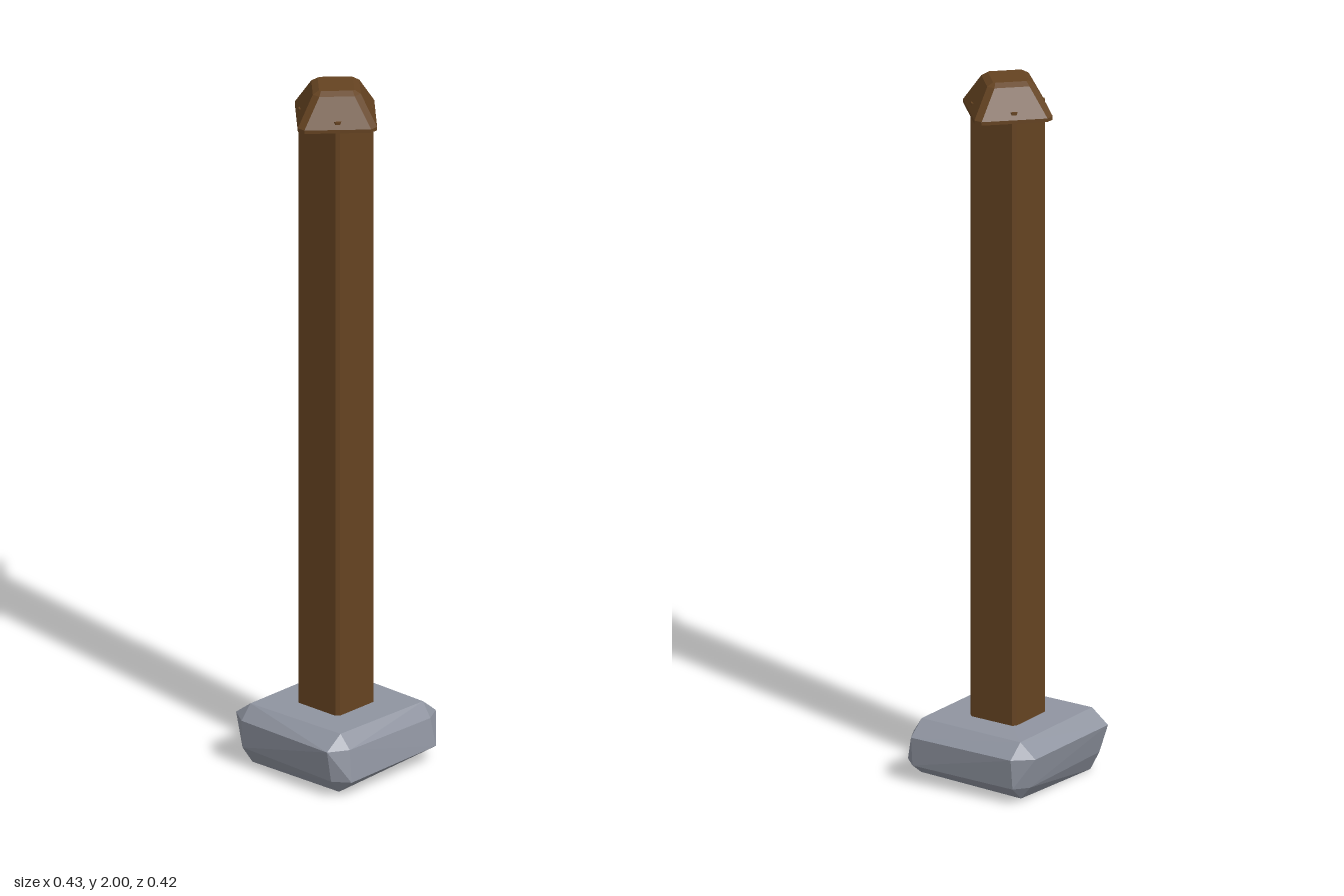
import * as THREE from 'three';
import { ConvexGeometry } from 'three/addons/geometries/ConvexGeometry.js';

const wood = new THREE.MeshStandardMaterial({ color: 0x654321, flatShading: true });
const stone = new THREE.MeshStandardMaterial({ color: 0x8f94a0, flatShading: true });

// Square column with cut corners, lofted through rings of [y, half width, corner cut]
function loftSquare(rings) {
  const pos = [], idx = [], n = 8;
  for (const [y, h, cut] of rings) {
    const k = h - cut;
    for (const [x, z] of [[h, -k], [h, k], [k, h], [-k, h], [-h, k], [-h, -k], [-k, -h], [k, -h]]) pos.push(x, y, z);
  }
  for (let r = 0; r < rings.length - 1; r++) {
    for (let i = 0; i < n; i++) {
      const a = r * n + i, b = r * n + (i + 1) % n;
      idx.push(a, a + n, b, b, a + n, b + n);
    }
  }
  const top = (rings.length - 1) * n;
  for (let i = 1; i < n - 1; i++) {
    idx.push(0, i, i + 1);
    idx.push(top, top + i + 1, top + i);
  }
  const geo = new THREE.BufferGeometry();
  geo.setAttribute('position', new THREE.Float32BufferAttribute(pos, 3));
  geo.setIndex(idx);
  const flat = geo.toNonIndexed();
  flat.computeVertexNormals();
  return flat;
}

// Uneven block: each corner has an outer position and an inset one, giving one point per face
function roughBlock(corners) {
  const points = [];
  for (const [X, Y, Z, x, y, z] of corners) {
    points.push(new THREE.Vector3(X, y, z), new THREE.Vector3(x, Y, z), new THREE.Vector3(x, y, Z));
  }
  return new ConvexGeometry(points);
}

export function createModel() {
  const group = new THREE.Group();
  const add = (name, geo, mat) => {
    const mesh = new THREE.Mesh(geo, mat);
    mesh.name = name;
    group.add(mesh);
    return mesh;
  };

  // Stone foot
  add('stoneBase', roughBlock([
    [-0.204, 0.175, -0.213, -0.168, 0.135, -0.16],
    [0.214, 0.17, -0.21, 0.168, 0.13, -0.16],
    [0.214, 0.172, 0.197, 0.163, 0.13, 0.17],
    [-0.214, 0.178, 0.197, -0.16, 0.14, 0.163],
    [-0.2, 0, -0.19, -0.16, 0.055, -0.16],
    [0.205, 0.008, -0.19, 0.165, 0.045, -0.16],
    [0.211, 0.02, 0.211, 0.17, 0.05, 0.167],
    [-0.2, 0.01, 0.211, -0.168, 0.05, 0.165],
  ]), stone);

  // Square post with bevelled edges
  add('post', loftSquare([[0.1, 0.076, 0.009], [1.93, 0.076, 0.009]]), wood);

  // Tapered cap, turned 45 degrees to the post
  const cap = add('cap', loftSquare([
    [1.9, 0.1075, 0.017],
    [1.91, 0.1075, 0.017],
    [1.99, 0.065, 0.017],
    [2, 0.048, 0.005],
  ]), wood);
  cap.rotation.y = Math.PI / 4;

  return group;
}
